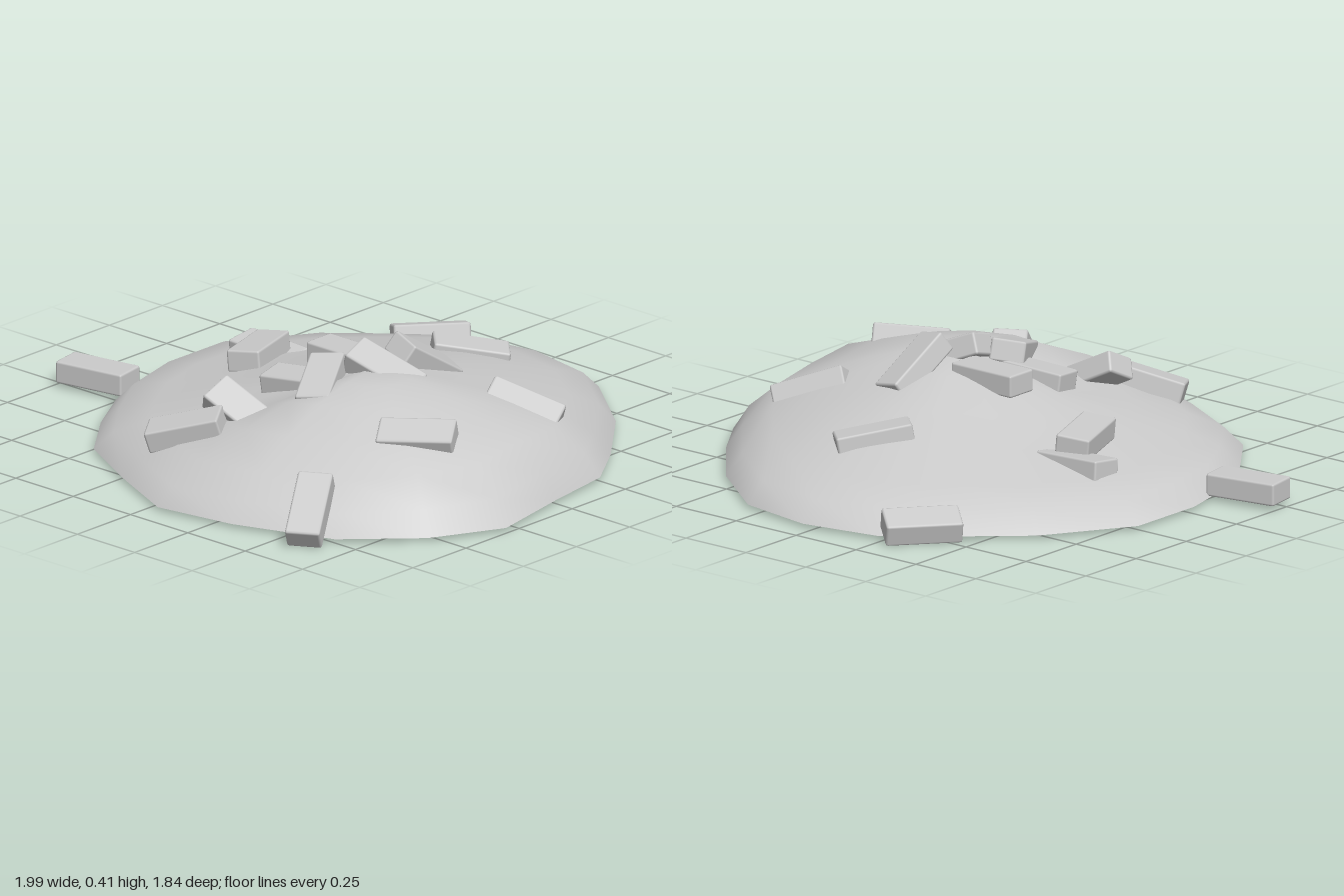
import * as THREE from 'three';
import { RoundedBoxGeometry } from 'three/addons/geometries/RoundedBoxGeometry.js';

// Rim of the mound, as x, z pairs, clockwise from the back
const RIM = [
  [0.04, -0.92], [0.31, -0.87], [0.57, -0.67], [0.77, -0.43], [0.89, -0.25], [0.93, 0],
  [0.99, 0.3], [0.87, 0.54], [0.66, 0.75], [0.32, 0.87], [0.04, 0.915], [-0.23, 0.79],
  [-0.48, 0.655], [-0.63, 0.46], [-0.74, 0.27], [-0.8, 0.03], [-0.8, -0.25],
  [-0.62, -0.54], [-0.43, -0.71], [-0.23, -0.87],
];
const PEAK = [0.25, 0.33, 0.12];
const STEPS = [0.2, 0.4, 0.6, 0.8, 0.93, 1];

// Slope heights at each step, by direction in degrees (0 = +x, 90 = +z)
const SLOPES = [
  [-90, 0.295, 0.24, 0.19, 0.125, 0.08, 0.015],
  [0, 0.32, 0.29, 0.24, 0.19, 0.1, 0.015],
  [90, 0.32, 0.29, 0.225, 0.145, 0.075, 0.015],
  [145, 0.27, 0.21, 0.165, 0.12, 0.075, 0.015],
  [180, 0.28, 0.215, 0.155, 0.115, 0.085, 0.015],
  [270, 0.295, 0.24, 0.19, 0.125, 0.08, 0.015],
];

function slopeHeight(angle, step) {
  const a = angle < -90 ? angle + 360 : angle;
  const i = Math.max(1, SLOPES.findIndex((s) => s[0] >= a));
  const p = SLOPES[i - 1], q = SLOPES[i];
  const k = THREE.MathUtils.smoothstep(a, p[0], q[0]);
  return THREE.MathUtils.lerp(p[step + 1], q[step + 1], k);
}

// Open shell: rings that grow from the peak to the rim
function moundGeometry() {
  const n = RIM.length, pos = [...PEAK], index = [];
  STEPS.forEach((t, s) => {
    RIM.forEach(([x, z], i) => {
      const dx = x - PEAK[0], dz = z - PEAK[2];
      const angle = THREE.MathUtils.radToDeg(Math.atan2(dz, dx));
      pos.push(PEAK[0] + dx * t, slopeHeight(angle, s), PEAK[2] + dz * t);
      const j = (i + 1) % n, a = 1 + s * n;
      if (s === 0) index.push(0, a + j, a + i);
      else index.push(a - n + i, a - n + j, a + i, a - n + j, a + j, a + i);
    });
  });
  const g = new THREE.BufferGeometry();
  g.setAttribute('position', new THREE.Float32BufferAttribute(pos, 3));
  g.setIndex(index);
  g.computeVertexNormals();
  return g;
}

// Bricks: centre, direction of the long axis, roll about it
const BRICKS = [
  [[-0.87, 0.055, 0.215], [0.25, 0, -0.045], 0],
  [[-0.345, 0.053, -0.785], [0.17, 0, -0.2], -0.3],
  [[0.11, 0.185, -0.48], [0.16, -0.04, -0.17], 0.05],
  [[-0.46, 0.128, -0.15], [0.25, -0.01, 0], 0.12],
  [[-0.395, 0.185, -0.03], [0.08, 0.01, 0.23], 0.1],
  [[0.04, 0.288, 0.025], [1, 0, 0], 0],
  [[0.27, 0.305, -0.09], [-0.02, 0.14, 0.22], -0.25],
  [[0.265, 0.31, 0.09], [0.22, -0.09, -0.06], 0.3],
  [[0.03, 0.25, 0.225], [0.24, 0.02, -0.04], 0.1],
  [[0.16, 0.295, 0.275], [0.13, -0.07, 0.22], 0.1],
  [[-0.01, 0.2, 0.46], [0.2, -0.1, -0.03], 0.5],
  [[-0.11, 0.165, 0.62], [0.22, 0.07, -0.13], 0.15],
  [[0.62, 0.235, 0.32], [0.19, 0.01, -0.12], 0.4],
  [[0.6, 0.19, -0.2], [0.2, -0.08, -0.11], 0.5],
  [[0.57, 0.1, 0.77], [0.1, -0.13, 0.17], 0],
];

export function createModel() {
  const model = new THREE.Group();
  model.name = 'rubblePile';

  const mound = new THREE.Mesh(
    moundGeometry(),
    new THREE.MeshStandardMaterial({ color: 0xcccccc, side: THREE.DoubleSide })
  );
  mound.name = 'mound';
  model.add(mound);

  const brickGeometry = new RoundedBoxGeometry(0.25, 0.075, 0.115, 1, 0.008);
  const brickMaterial = new THREE.MeshStandardMaterial({ color: 0xcccccc });
  BRICKS.forEach(([centre, [dx, dy, dz], roll], i) => {
    const brick = new THREE.Mesh(brickGeometry, brickMaterial);
    brick.name = `brick${i + 1}`;
    brick.position.set(...centre);
    brick.rotation.set(roll, Math.atan2(-dz, dx), Math.atan2(dy, Math.hypot(dx, dz)), 'YZX');
    model.add(brick);
  });
  return model;
}
